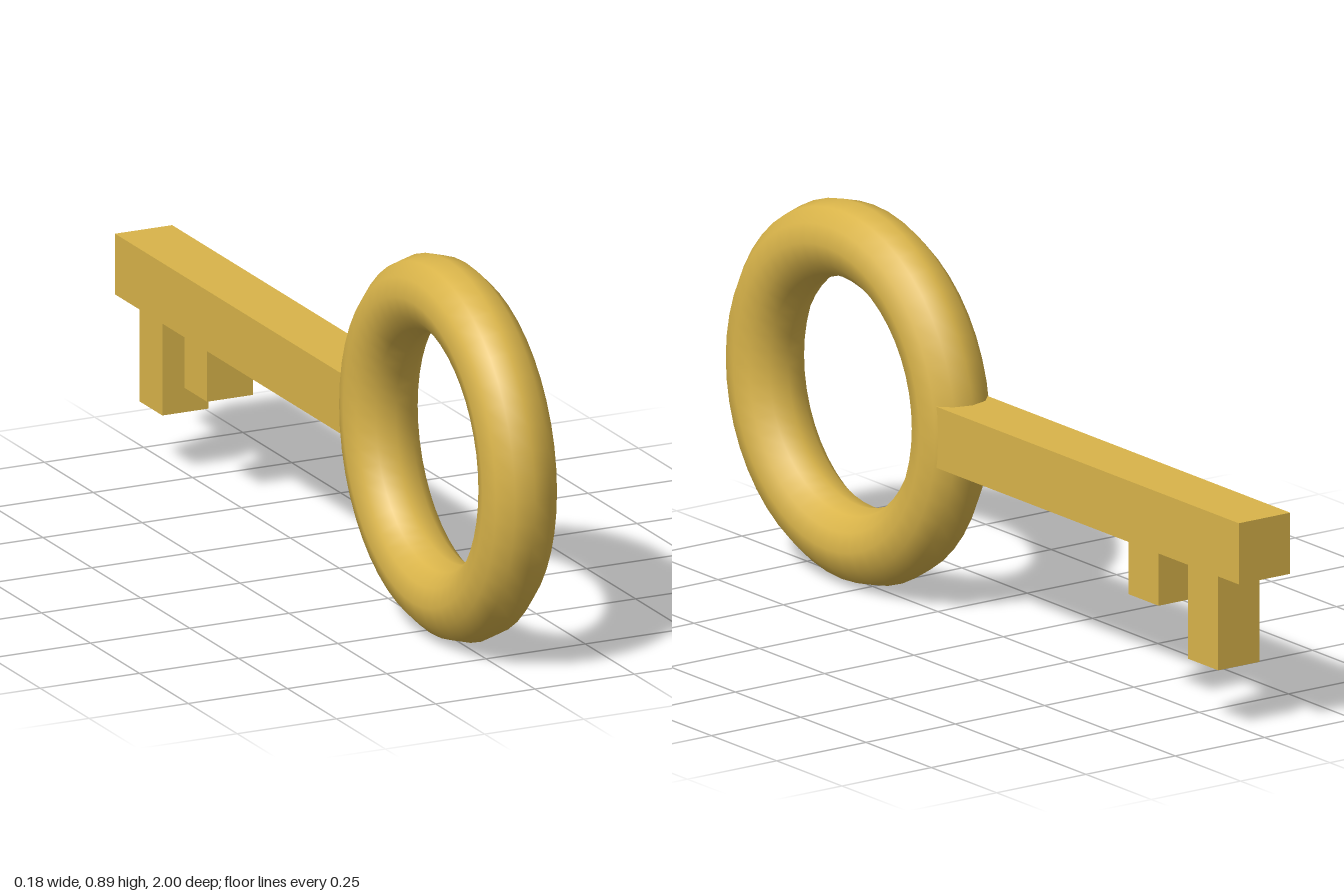
import * as THREE from 'three';

export function createModel() {
  const key = new THREE.Group();
  key.name = 'key';
  const gold = new THREE.MeshStandardMaterial({ color: 0xd9b44a });
  const centerY = 0.446;

  // Box given by its width and its extents in y and z, centred on x = 0
  function bar(name, width, y0, y1, z0, z1) {
    const mesh = new THREE.Mesh(new THREE.BoxGeometry(width, y1 - y0, z1 - z0), gold);
    mesh.position.set(0, (y0 + y1) / 2, (z0 + z1) / 2);
    mesh.name = name;
    key.add(mesh);
  }

  // Ring handle, standing in the yz plane
  const ring = new THREE.Mesh(new THREE.TorusGeometry(0.356, 0.089, 12, 48), gold);
  ring.name = 'ringHandle';
  ring.rotation.y = Math.PI / 2;
  ring.position.set(0, centerY, 0.556);
  key.add(ring);

  // Square shaft, its front end sunk into the ring
  bar('shaft', 0.144, centerY - 0.072, centerY + 0.072, -1, 0.2);

  // Two teeth hanging below the shaft
  bar('shortTooth', 0.116, 0.244, 0.4, -0.674, -0.558);
  bar('longTooth', 0.116, 0.146, 0.4, -0.902, -0.786);

  return key;
}
